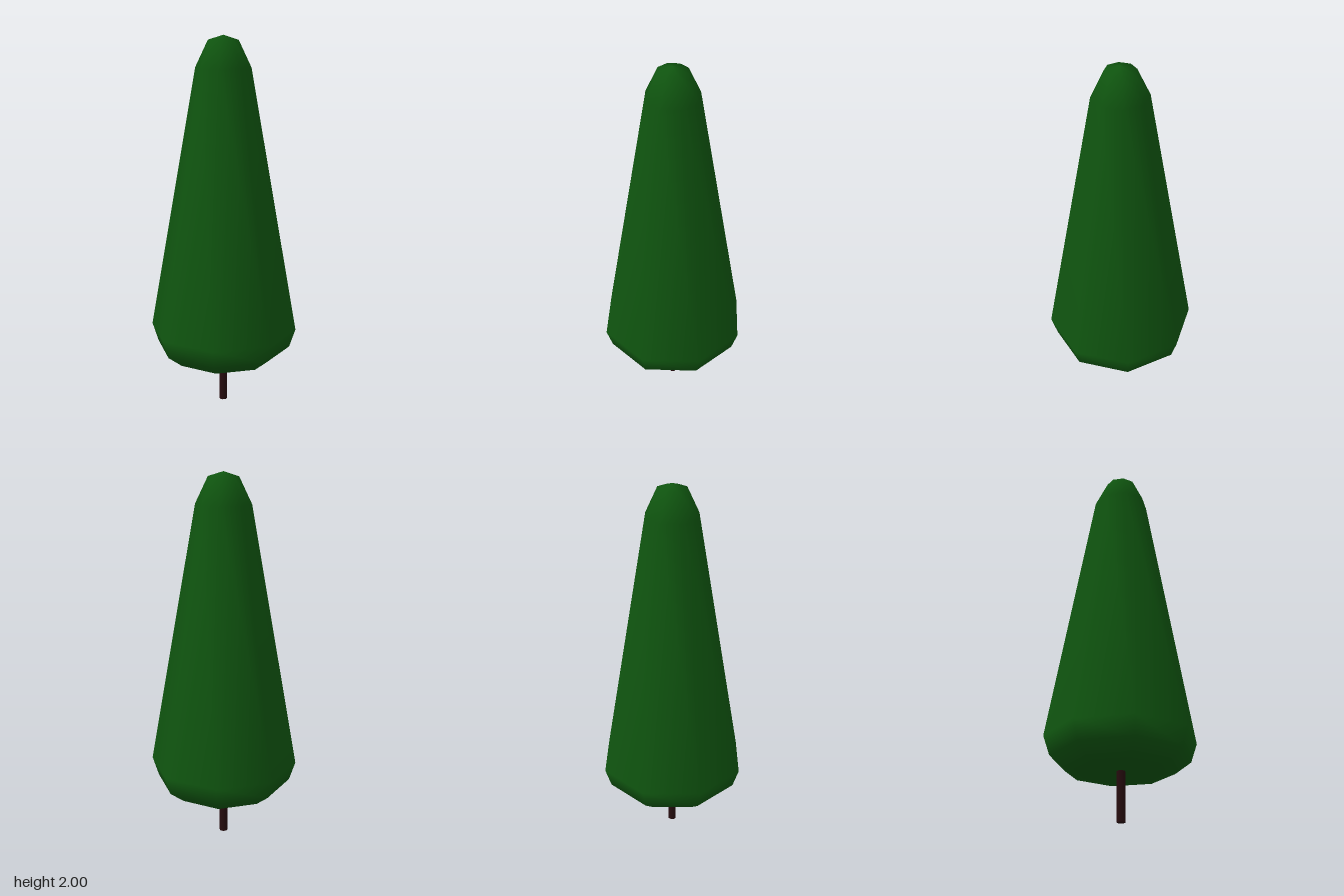
import * as THREE from 'three';

const material = (name, color) => {
  const m = new THREE.MeshStandardMaterial({ color });
  m.name = name;
  return m;
};

export function createModel() {
  const tree = new THREE.Group();
  tree.name = 'tree';
  const green = material('dark green', 0x0f540f);
  const brown = material('dark brown', 0x260c0e);

  // Eight-sided tapering crown, rounded at the foot and tip
  const profile = [
    [0, 0.26], [0.28, 0.26], [0.365, 0.325], [0.398, 0.425],
    [0.147, 1.835], [0.08, 1.975], [0, 2],
  ].map(([r, y]) => new THREE.Vector2(r, y));
  const crown = new THREE.Mesh(new THREE.LatheGeometry(profile, 8), green);
  crown.name = 'crown';
  tree.add(crown);

  // Thin trunk, running a little way into the crown
  const trunk = new THREE.Mesh(new THREE.CylinderGeometry(0.022, 0.022, 0.3, 8), brown);
  trunk.name = 'trunk';
  trunk.position.y = 0.15;
  tree.add(trunk);

  return tree;
}
